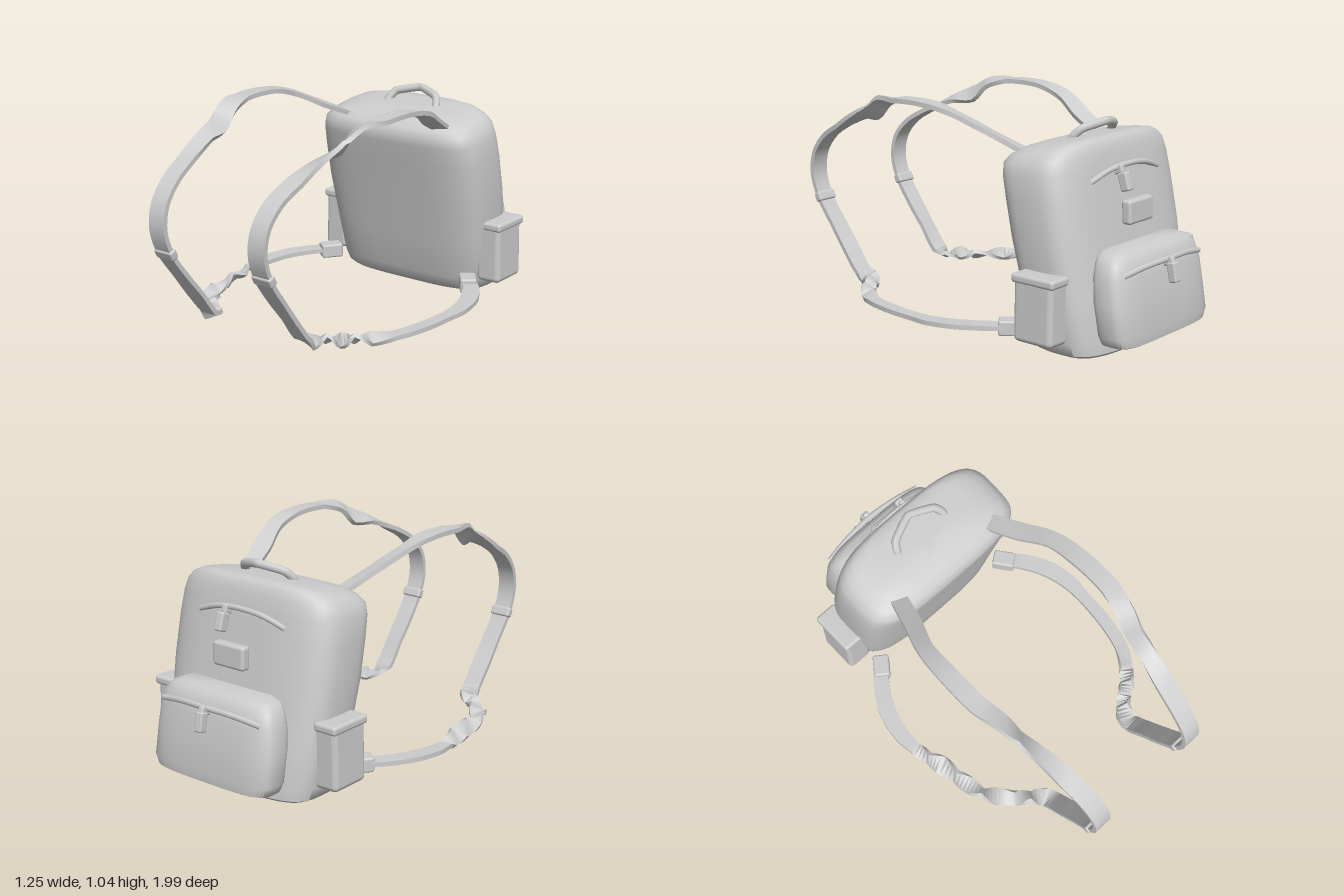
import * as THREE from 'three';
import { toCreasedNormals } from 'three/addons/utils/BufferGeometryUtils.js';
import { RoundedBoxGeometry } from 'three/addons/geometries/RoundedBoxGeometry.js';

const grey = new THREE.MeshStandardMaterial({ color: 0xcccccc });
grey.name = 'grey fabric';

// Closed skin over a stack of rings (each ring counter-clockwise about the stacking direction)
function loft(rings, crease) {
  const n = rings[0].length, last = (rings.length - 1) * n, index = [];
  for (let i = 0; i < rings.length - 1; i++) {
    for (let j = 0; j < n; j++) {
      const a = i * n + j, b = i * n + (j + 1) % n;
      index.push(a, b, b + n, a, b + n, a + n);
    }
  }
  for (let j = 1; j < n - 1; j++) index.push(0, j + 1, j, last, last + j, last + j + 1);
  const g = new THREE.BufferGeometry().setFromPoints(rings.flat());
  g.setIndex(index);
  return toCreasedNormals(g, crease);
}

// Rounded-rectangle section: [y, half width, front z, back z, tilt]
function section([y, hx, zf, zb, tilt = 0]) {
  const ring = [], n = 48, e = 2 / 3.6;
  for (let i = 0; i < n; i++) {
    const t = (i / n) * Math.PI * 2, s = Math.sin(t), c = Math.cos(t);
    const dz = Math.sign(c) * Math.abs(c) ** e * (zf - zb) / 2;
    ring.push(new THREE.Vector3(Math.sign(s) * Math.abs(s) ** e * hx, y - dz * tilt, (zf + zb) / 2 + dz));
  }
  return ring;
}

// Flat webbing along points [x, y, z, half width, roll]
function ribbon(points, side) {
  const curve = new THREE.CatmullRomCurve3(points.map(p => new THREE.Vector3(p[0] * side, p[1], p[2])));
  const segs = points.length - 1, steps = segs * 4, rings = [], half = 0.011;
  for (let i = 0; i <= steps; i++) {
    const t = i / steps, k = Math.min(Math.floor(t * segs), segs - 1), f = t * segs - k;
    const at = c => THREE.MathUtils.lerp(points[k][c], points[k + 1][c], f);
    const P = curve.getPoint(t), T = curve.getTangent(t);
    const S = new THREE.Vector3(1, 0, 0).addScaledVector(T, -T.x).normalize().applyAxisAngle(T, at(4) * side);
    const N = T.clone().cross(S);
    rings.push([[1, 1], [-1, 1], [-1, -1], [1, -1]].map(([a, b]) =>
      P.clone().addScaledVector(S, a * at(3)).addScaledVector(N, b * half)));
  }
  return loft(rings, 0.6);
}

function tube(points, radius, tension = 0.5) {
  const curve = new THREE.CatmullRomCurve3(points.map(p => new THREE.Vector3(...p)), false, 'catmullrom', tension);
  return new THREE.TubeGeometry(curve, 32, radius, 8);
}

export function createModel() {
  const model = new THREE.Group();
  const add = (name, geometry, pos = [0, 0, 0], rot = [0, 0, 0]) => {
    const m = new THREE.Mesh(geometry, grey);
    m.name = name;
    m.position.set(...pos);
    m.rotation.set(...rot);
    model.add(m);
    return m;
  };
  const box = (w, h, d, r) => new RoundedBoxGeometry(w, h, d, 3, r);

  // Main bag, leaning forward toward its top
  add('mainBag', loft([
    [0.003, 0.39, -0.47, -0.82], [0.02, 0.42, -0.455, -0.84], [0.07, 0.432, -0.435, -0.838],
    [0.25, 0.448, -0.397, -0.805], [0.5, 0.463, -0.34, -0.757], [0.68, 0.46, -0.302, -0.72, 0.04],
    [0.78, 0.452, -0.28, -0.697, 0.1], [0.835, 0.435, -0.272, -0.684, 0.14], [0.868, 0.4, -0.29, -0.672, 0.15],
    [0.892, 0.35, -0.33, -0.66, 0.15], [0.908, 0.27, -0.39, -0.645, 0.14], [0.915, 0.14, -0.45, -0.6, 0.1],
  ].map(section), 0.9));

  // Large pocket on the outer face
  add('outerPocket', loft([
    [0.055, 0.29, -0.8, -0.94], [0.07, 0.33, -0.78, -0.965], [0.11, 0.347, -0.77, -0.968],
    [0.25, 0.345, -0.74, -0.947], [0.36, 0.335, -0.73, -0.93], [0.42, 0.315, -0.73, -0.912],
    [0.45, 0.29, -0.73, -0.892], [0.465, 0.25, -0.74, -0.87],
  ].map(section), 0.9));

  // Zips, pulls and patch
  add('bagZip', tube([[-0.25, 0.75, -0.695], [-0.13, 0.788, -0.708], [0, 0.8, -0.714], [0.13, 0.788, -0.708], [0.25, 0.75, -0.695]], 0.013));
  add('pocketZip', tube([[-0.29, 0.38, -0.905], [-0.15, 0.4, -0.925], [0, 0.405, -0.935], [0.15, 0.4, -0.925], [0.29, 0.38, -0.905]], 0.014));
  add('bagZipPull', box(0.042, 0.085, 0.045, 0.008), [0.07, 0.735, -0.752], [0.3, 0, 0]);
  add('bagZipSlider', box(0.03, 0.04, 0.05, 0.008), [0.07, 0.785, -0.715], [0.3, 0, 0]);
  add('pocketZipPull', box(0.042, 0.09, 0.04, 0.008), [0, 0.35, -0.968], [0.2, 0, 0]);
  add('pocketZipSlider', box(0.03, 0.035, 0.06, 0.008), [0, 0.395, -0.94], [0.4, 0, 0]);
  add('patch', box(0.18, 0.11, 0.05, 0.015), [0, 0.6, -0.77], [0.04, 0, 0]);

  // Carrying handle
  add('handle', tube([[-0.145, 0.89, -0.5], [-0.14, 0.92, -0.52], [-0.115, 0.952, -0.548], [0, 0.975, -0.59],
    [0.115, 0.952, -0.548], [0.14, 0.92, -0.52], [0.145, 0.89, -0.5]], 0.02, 0.2));

  // Shoulder part of the straps, from the top of the bag down to the front
  const shoulder = [
    [0.28, 0.85, -0.36, 0.04, 0.2], [0.33, 0.92, -0.2, 0.042, 0.3], [0.385, 0.99, -0.05, 0.038, 0.2],
    [0.4, 1.025, 0.1, 0.043, 0], [0.4, 1.025, 0.3, 0.043, 0], [0.375, 1.005, 0.42, 0.042, 0.5],
    [0.355, 0.94, 0.51, 0.045, 0.95], [0.335, 0.91, 0.62, 0.038, 0.4], [0.31, 0.84, 0.77, 0.045, 0],
    [0.295, 0.77, 0.89, 0.045, 0], [0.288, 0.68, 0.965, 0.045, 0], [0.285, 0.57, 0.985, 0.045, 0],
    [0.283, 0.45, 0.945, 0.045, 0], [0.28, 0.33, 0.86, 0.045, 0], [0.28, 0.22, 0.775, 0.045, 0.1],
    [0.28, 0.11, 0.69, 0.045, 0],
  ];
  // Lower part: crumpled webbing that sweeps back to the base, different on each side
  const sweep = [[0.585, 0.08, 0.03, 0.03, 0], [0.588, 0.083, -0.07, 0.038, 0], [0.56, 0.088, -0.2, 0.042, 0],
    [0.495, 0.09, -0.32, 0.04, 0], [0.42, 0.09, -0.41, 0.035, 0]];
  const lower = {
    1: [[0.28, 0.08, 0.64, 0.045, 0.6], [0.32, 0.085, 0.58, 0.035, -0.8], [0.37, 0.075, 0.54, 0.035, 0.8],
      [0.42, 0.085, 0.505, 0.035, -0.9], [0.47, 0.08, 0.45, 0.035, 0.6], [0.53, 0.08, 0.36, 0.032, 0],
      [0.57, 0.08, 0.2, 0.032, 0]],
    '-1': [[0.29, 0.08, 0.65, 0.045, 0.6], [0.34, 0.085, 0.6, 0.035, -0.8], [0.4, 0.075, 0.55, 0.035, 0.7],
      [0.46, 0.08, 0.48, 0.042, 0], [0.5, 0.08, 0.42, 0.03, -0.9], [0.52, 0.08, 0.35, 0.04, 0.2],
      [0.535, 0.08, 0.27, 0.04, 1.2], [0.55, 0.08, 0.18, 0.045, 0.3], [0.57, 0.08, 0.11, 0.035, 1.2]],
  };

  for (const side of [1, -1]) {
    const label = side > 0 ? 'left' : 'right';
    add(label + 'Strap', ribbon([...shoulder, ...lower[side], ...sweep], side));
    add(label + 'StrapBuckle', box(0.106, 0.048, 0.04, 0.01), [side * 0.283, 0.455, 0.945], [0.46, 0, 0]);
    add(label + 'StrapTab', box(0.08, 0.07, 0.11, 0.01), [side * 0.425, 0.087, -0.4], [0, side * 0.64, 0]);
    // Side pocket with a padded rim
    add(label + 'SidePocket', box(0.13, 0.29, 0.21, 0.025), [side * 0.47, 0.215, -0.605], [0, 0, side * 0.02]);
    add(label + 'SidePocketRim', box(0.12, 0.042, 0.23, 0.015), [side * 0.482, 0.357, -0.608]);
  }
  return model;
}
